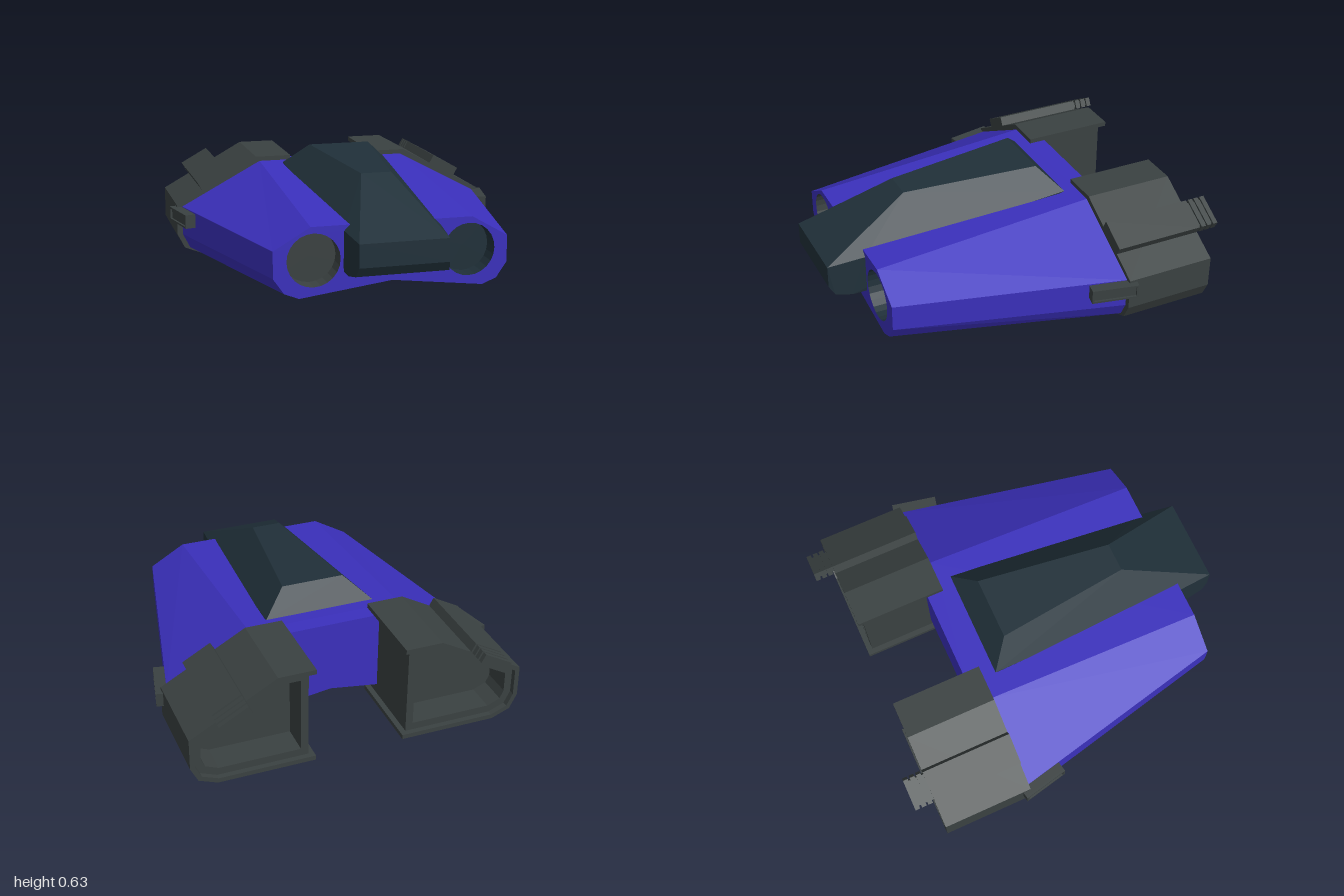
import * as THREE from 'three';
import { ConvexGeometry } from 'three/addons/geometries/ConvexGeometry.js';

const paint = (color) => new THREE.MeshStandardMaterial({ color, flatShading: true, side: THREE.DoubleSide });
const blue = paint(0x3b30bd), glass = paint(0x203039), grey = paint(0x3a4141);

const v2 = (pts) => pts.map(([x, y]) => new THREE.Vector2(x, y));

function part(parent, name, geometry, material) {
  const mesh = new THREE.Mesh(geometry, material);
  mesh.name = name;
  parent.add(mesh);
  return mesh;
}

// Extrude an outline (with optional hole) between two depths
function prism(pts, zBack, zFront, hole) {
  const shape = new THREE.Shape(v2(pts));
  if (hole) shape.holes.push(new THREE.Path(v2(hole)));
  return new THREE.ExtrudeGeometry(shape, { depth: zFront - zBack, bevelEnabled: false }).translate(0, 0, zBack);
}

// Full closed ring from its +x half, counter-clockwise from the keel
const mirrorRing = (half) => [[0, 0.12], ...half, ...half.map(([x, y]) => [-x, y]).reverse()];

// Skin between two matching rings
function skin(front, zFront, back, zBack) {
  const p = [];
  front.forEach((f, i) => {
    const j = (i + 1) % front.length;
    const a = [...f, zFront], b = [...front[j], zFront], c = [...back[i], zBack], d = [...back[j], zBack];
    p.push(...a, ...c, ...b, ...b, ...c, ...d);
  });
  const g = new THREE.BufferGeometry();
  g.setAttribute('position', new THREE.Float32BufferAttribute(p, 3));
  g.computeVertexNormals();
  return g;
}

const INTAKE = { x: 0.405, y: 0.25, r: 0.137, depth: 0.1 };

function hull() {
  const group = new THREE.Group();
  group.name = 'hull';
  const front = mirrorRing([[0.48, 0.06], [0.555, 0.09], [0.61, 0.17], [0.61, 0.31], [0.42, 0.42]]);
  const back = mirrorRing([[0.72, 0.015], [0.83, 0.04], [0.87, 0.12], [0.87, 0.28], [0.42, 0.52]]);
  part(group, 'hullSkin', skin(front, 0.8, back, -0.4), blue);

  // Front wall with two round intakes
  const wall = new THREE.Shape(v2(front));
  for (const s of [-1, 1]) {
    wall.holes.push(new THREE.Path().absarc(s * INTAKE.x, INTAKE.y, INTAKE.r, 0, Math.PI * 2, true));
    const tube = new THREE.CylinderGeometry(INTAKE.r, INTAKE.r, INTAKE.depth, 24, 1, true).rotateX(Math.PI / 2);
    const floor = new THREE.CircleGeometry(INTAKE.r, 24);
    const mat = s < 0 ? grey : glass;
    part(group, 'intakeWall', tube, mat).position.set(s * INTAKE.x, INTAKE.y, 0.8 - INTAKE.depth / 2);
    part(group, 'intakeFloor', floor, mat).position.set(s * INTAKE.x, INTAKE.y, 0.8 - INTAKE.depth);
  }
  part(group, 'frontWall', new THREE.ShapeGeometry(wall, 12).translate(0, 0, 0.8), blue);

  // Rear wall and the block between the engines
  part(group, 'rearWall', new THREE.ShapeGeometry(new THREE.Shape(v2(back))).rotateY(Math.PI).translate(0, 0, -0.4), blue);
  part(group, 'tailBlock', prism([[0, 0.12], [0.28, 0.08], [0.28, 0.52], [-0.28, 0.52], [-0.28, 0.08]], -0.49, -0.4), blue);
  return group;
}

function canopy() {
  const half = [
    [0.08, 0.61, 0.51], [0.17, 0.635, -0.22], [0.3, 0.52, -0.33], [0.25, 0.39, 0.8],
    [0.23, 0.37, 1], [0.23, 0.25, 1], [0.24, 0.2, 0.97], [0.25, 0.18, 0.88], [0.25, 0.18, 0.7],
  ];
  const pts = half.flatMap(([x, y, z]) => [new THREE.Vector3(x, y, z), new THREE.Vector3(-x, y, z)]);
  return new ConvexGeometry(pts);
}

// Left-hand engine with its gun and side fin
function engine() {
  const group = new THREE.Group();
  group.name = 'engine';

  // Wrap-around shell, open on the inner side
  const outer = [[0.24, 0], [0.76, 0], [0.86, 0.04], [0.9, 0.12], [0.9, 0.29], [0.44, 0.545], [0.24, 0.545]];
  const inner = [[0.24, 0.52], [0.433, 0.52], [0.875, 0.275], [0.875, 0.127], [0.842, 0.06], [0.755, 0.025], [0.24, 0.025]];
  part(group, 'engineShell', prism([...outer, ...inner], -0.89, -0.4), grey);

  // Core with a rear exhaust pocket
  const core = inner.map(([x, y]) => [Math.max(x, 0.27), y]);
  const pocket = [[0.31, 0.48], [0.42, 0.48], [0.835, 0.25], [0.835, 0.14], [0.815, 0.095], [0.745, 0.065], [0.31, 0.065]];
  part(group, 'engineCore', prism(core, -0.7, -0.4), grey);
  part(group, 'exhaustRim', prism(core, -0.86, -0.7, pocket), grey);

  // Gun lying on the sloping top, with a ribbed barrel
  const gun = new THREE.Group();
  gun.name = 'gun';
  gun.position.set(0.68, 0.412, 0);
  gun.rotation.z = -Math.atan2(0.255, 0.46);
  group.add(gun);
  const block = (name, w, y0, y1, zBack, zFront) =>
    part(gun, name, new THREE.BoxGeometry(w, y1 - y0, zFront - zBack), grey)
      .position.set(0, (y0 + y1) / 2, (zBack + zFront) / 2);
  block('gunBody', 0.172, -0.02, 0.05, -0.89, -0.4);
  block('gunBarrel', 0.145, 0.01, 0.04, -0.99, -0.88);
  for (const z of [-0.915, -0.95, -0.987]) block('gunRib', 0.172, 0, 0.05, z - 0.013, z + 0.013);

  // Small fin along the hull flank, with a framed outer face
  const fin = new THREE.Group();
  fin.name = 'sideFin';
  fin.position.set(0.875, 0.24, -0.32);
  fin.rotation.y = Math.atan2(-0.26, 1.2);
  group.add(fin);
  part(fin, 'finBody', new THREE.BoxGeometry(0.05, 0.076, 0.25), grey);
  for (const s of [-1, 1]) {
    part(fin, 'finRail', new THREE.BoxGeometry(0.012, 0.01, 0.25), grey).position.set(0.03, s * 0.033, 0);
    part(fin, 'finEnd', new THREE.BoxGeometry(0.012, 0.076, 0.012), grey).position.set(0.03, 0, s * 0.119);
  }
  return group;
}

export function createModel() {
  const model = new THREE.Group();
  model.name = 'spacecraft';
  model.add(hull());
  part(model, 'canopy', canopy(), glass);
  for (const s of [1, -1]) {
    const e = engine();
    e.name = s > 0 ? 'leftEngine' : 'rightEngine';
    e.scale.x = s;
    model.add(e);
  }
  return model;
}
